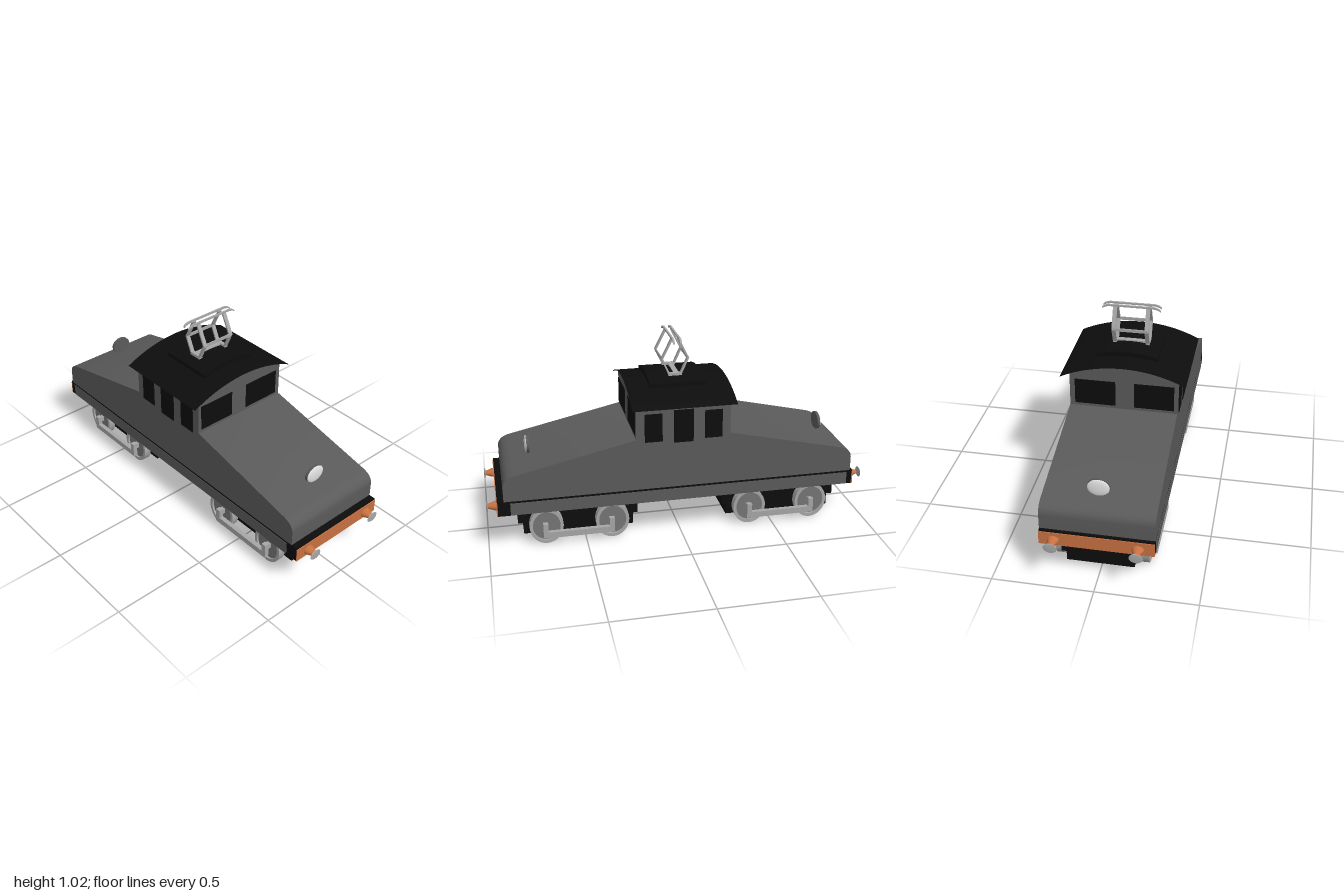
import * as THREE from 'three';
import { toCreasedNormals } from 'three/addons/utils/BufferGeometryUtils.js';

const mat = (name, color, side = THREE.FrontSide) => {
  const m = new THREE.MeshStandardMaterial({ color, side });
  m.name = name;
  return m;
};

export function createModel() {
  const root = new THREE.Group();
  root.name = 'electricLocomotive';
  const grey = mat('bodyGrey', 0x5a5a5a);
  const black = mat('black', 0x0d0d0d, THREE.DoubleSide);
  const orange = mat('bufferOrange', 0xc87141);
  const steel = mat('steel', 0xa6a6a6);
  const hub = mat('wheelGrey', 0x757575);
  const lens = mat('lampLens', 0xe2e2e2);

  const add = (name, geo, m, x = 0, y = 0, z = 0, parent = root) => {
    const mesh = new THREE.Mesh(geo, m);
    mesh.name = name;
    mesh.position.set(x, y, z);
    parent.add(mesh);
    return mesh;
  };
  // Box given by its limits on each axis
  const box = (name, m, x0, x1, y0, y1, z0, z1, parent = root) =>
    add(name, new THREE.BoxGeometry(x1 - x0, y1 - y0, z1 - z0), m,
      (x0 + x1) / 2, (y0 + y1) / 2, (z0 + z1) / 2, parent);
  const extrude = (shape, depth) => {
    const g = new THREE.ExtrudeGeometry(shape, { depth, bevelEnabled: false, curveSegments: 16 });
    g.translate(0, 0, -depth / 2);
    return toCreasedNormals(g, 0.5);
  };
  // Upright block with a curved top
  const archShape = (w, bottom, top, r) => {
    const s = new THREE.Shape();
    const a = Math.asin(w / r);
    s.moveTo(-w, bottom);
    s.lineTo(w, bottom);
    s.absarc(0, top - r, r, Math.PI / 2 - a, Math.PI / 2 + a, false);
    s.closePath();
    return s;
  };

  // Sloping bonnets, front and rear in one side profile
  const p = new THREE.Shape();
  p.moveTo(-0.917, 0.278);
  p.lineTo(0.912, 0.278);
  p.lineTo(0.912, 0.355);
  p.quadraticCurveTo(0.91, 0.4, 0.855, 0.415);
  p.lineTo(0.238, 0.553);
  p.lineTo(-0.249, 0.553);
  p.lineTo(-0.86, 0.415);
  p.quadraticCurveTo(-0.915, 0.4, -0.917, 0.355);
  p.closePath();
  const bonnet = extrude(p, 0.552);
  bonnet.rotateY(-Math.PI / 2);
  add('bonnet', bonnet, grey, -0.002);

  // Cab and roofs
  const cz = -0.005;
  add('cab', extrude(archShape(0.276, 0.54, 0.796, 0.72), 0.487), grey, -0.002, 0, cz);
  const a = Math.asin(0.32 / 0.72);
  const roof = new THREE.CylinderGeometry(0.72, 0.72, 0.535, 24, 1, true, -a, 2 * a);
  roof.rotateX(-Math.PI / 2);
  add('roof', roof, black, 0, 0.798 - 0.72, cz);
  add('roofHatch', extrude(archShape(0.158, 0.765, 0.825, 0.52), 0.288), black, 0, 0, 0.001);

  // Cab windows and doors
  for (const [name, z] of [['frontWindow', 0.239], ['rearWindow', -0.25]]) {
    box(name, black, -0.26, -0.058, 0.57, 0.706, z - 0.003, z + 0.003);
    box(name, black, 0.039, 0.247, 0.57, 0.706, z - 0.003, z + 0.003);
  }
  for (const x of [-0.279, 0.275]) {
    box('sideWindow', black, x - 0.003, x + 0.003, 0.537, 0.687, 0.104, 0.195);
    box('door', black, x - 0.003, x + 0.003, 0.525, 0.7, -0.056, 0.045);
    box('sideWindow', black, x - 0.003, x + 0.003, 0.537, 0.687, -0.206, -0.115);
  }

  // Frame, side skirts and buffer beams
  box('frame', black, -0.277, 0.273, 0.2, 0.279, -0.93, 0.945);
  for (const x of [-0.277, 0.273])
    box('sideSkirt', grey, x - 0.002, x + 0.002, 0.201, 0.267, -0.9, 0.88);
  box('frontBeam', orange, -0.277, 0.275, 0.2, 0.27, 0.943, 0.949);
  box('rearBeam', orange, -0.277, 0.275, 0.2, 0.27, -0.934, -0.928);

  // Buffers and headlamps at both ends
  const v = (x, y) => new THREE.Vector2(x, y);
  const shank = new THREE.LatheGeometry([v(0.024, 0), v(0.022, 0.012), v(0.014, 0.035), v(0.01, 0.05)], 20);
  const head = toCreasedNormals(new THREE.LatheGeometry(
    [v(0, 0), v(0.01, 0), v(0.027, 0.007), v(0.025, 0.009), v(0, 0.012)], 20), 0.6);
  const shell = new THREE.CylinderGeometry(1, 1, 0.014, 28);
  const dome = new THREE.SphereGeometry(1, 28, 10, 0, Math.PI * 2, 0, Math.PI / 2);
  for (const g of [shank, head, shell, dome]) g.rotateX(Math.PI / 2);
  for (const [dir, beam, lampZ] of [[1, 0.947, 0.766], [-1, -0.933, -0.81]]) {
    for (const x of [-0.199, 0.204]) {
      const buffer = new THREE.Group();
      buffer.name = 'buffer';
      buffer.position.set(x, 0.23, beam);
      buffer.rotation.y = dir > 0 ? 0 : Math.PI;
      buffer.scale.x = 1.24;
      add('bufferShank', shank, orange, 0, 0, 0, buffer);
      add('bufferHead', head, steel, 0, 0, 1 - Math.abs(beam) - 0.012, buffer);
      root.add(buffer);
    }
    const lamp = new THREE.Group();
    lamp.name = 'headlamp';
    lamp.position.set(0.008, 0.472, lampZ);
    lamp.rotation.y = dir > 0 ? 0 : Math.PI;
    add('lampShell', shell, grey, 0, 0, 0, lamp).scale.set(0.055, 0.046, 1);
    add('lampLens', dome, lens, 0, 0, 0.007, lamp).scale.set(0.054, 0.045, 0.01);
    root.add(lamp);
  }

  // Bogies with wheels and coupling rods
  const rim = toCreasedNormals(new THREE.LatheGeometry(
    [v(0.08, -0.02), v(0.098, -0.02), v(0.098, 0.02), v(0.08, 0.02), v(0.08, -0.02)], 36), 0.5);
  const disc = new THREE.CylinderGeometry(0.082, 0.082, 0.02, 36);
  for (const g of [rim, disc]) {
    g.rotateZ(Math.PI / 2);
    g.scale(1, 1, 0.89);
  }
  for (const z of [0.532, -0.548]) {
    const bogie = new THREE.Group();
    bogie.name = 'bogie';
    bogie.position.z = z;
    box('bogieFrame', black, -0.19, 0.186, 0.105, 0.184, -0.31, 0.313, bogie);
    box('bogieKeel', black, -0.166, 0.168, 0.034, 0.106, -0.287, 0.285, bogie);
    for (const s of [-1, 1]) {
      for (const wz of [-0.171, 0.171]) {
        add('wheelRim', rim, steel, s * 0.21, 0.098, wz, bogie);
        add('wheelDisc', disc, hub, s * 0.21, 0.098, wz, bogie);
        const cz2 = wz + 0.006;
        box('crank', steel, s * 0.248 - 0.012, s * 0.248 + 0.012, 0.045, 0.122, cz2 - 0.013, cz2 + 0.013, bogie);
        box('crankPin', steel, s * 0.228 - 0.012, s * 0.228 + 0.012, 0.088, 0.115, cz2 - 0.012, cz2 + 0.012, bogie);
      }
      box('couplingRod', steel, s * 0.248 - 0.012, s * 0.248 + 0.012, 0.043, 0.075, -0.178, 0.19, bogie);
    }
    root.add(bogie);
  }

  // Pantograph
  const panto = new THREE.Group();
  panto.name = 'pantograph';
  panto.position.x = -0.004;
  const strut = (x, y0, z0, y1, z1) => {
    const len = Math.hypot(y1 - y0, z1 - z0);
    const m = add('pantographArm', new THREE.BoxGeometry(0.021, len + 0.006, 0.009), steel,
      x, (y0 + y1) / 2, (z0 + z1) / 2, panto);
    m.rotation.x = Math.atan2(z1 - z0, y1 - y0);
  };
  for (const s of [-1, 1]) {
    for (const x of [-0.084, 0.086]) {
      strut(x, 0.825, s * 0.03, 0.908, s * 0.068);
      strut(x, 0.908, s * 0.068, 1.01, s * 0.017);
    }
    box('kneeBar', steel, -0.09, 0.092, 0.899, 0.915, s * 0.068 - 0.003, s * 0.068 + 0.003, panto);
    // Collector strip with drooping ends
    const c = new THREE.Shape();
    c.moveTo(-0.148, 1.0);
    c.quadraticCurveTo(-0.13, 1.014, -0.105, 1.014);
    c.lineTo(0.11, 1.014);
    c.quadraticCurveTo(0.135, 1.014, 0.153, 1.0);
    c.lineTo(0.153, 1.007);
    c.quadraticCurveTo(0.137, 1.023, 0.11, 1.023);
    c.lineTo(-0.105, 1.023);
    c.quadraticCurveTo(-0.132, 1.023, -0.148, 1.007);
    c.closePath();
    add('collectorStrip', extrude(c, 0.01), steel, 0, 0, s * 0.018, panto);
  }
  box('pantographBase', steel, -0.095, 0.097, 0.818, 0.83, -0.022, 0.004, panto);
  for (const x of [-0.084, 0.086])
    box('pantographFoot', steel, x - 0.01, x + 0.01, 0.815, 0.831, -0.035, 0.035, panto);
  root.add(panto);

  return root;
}
